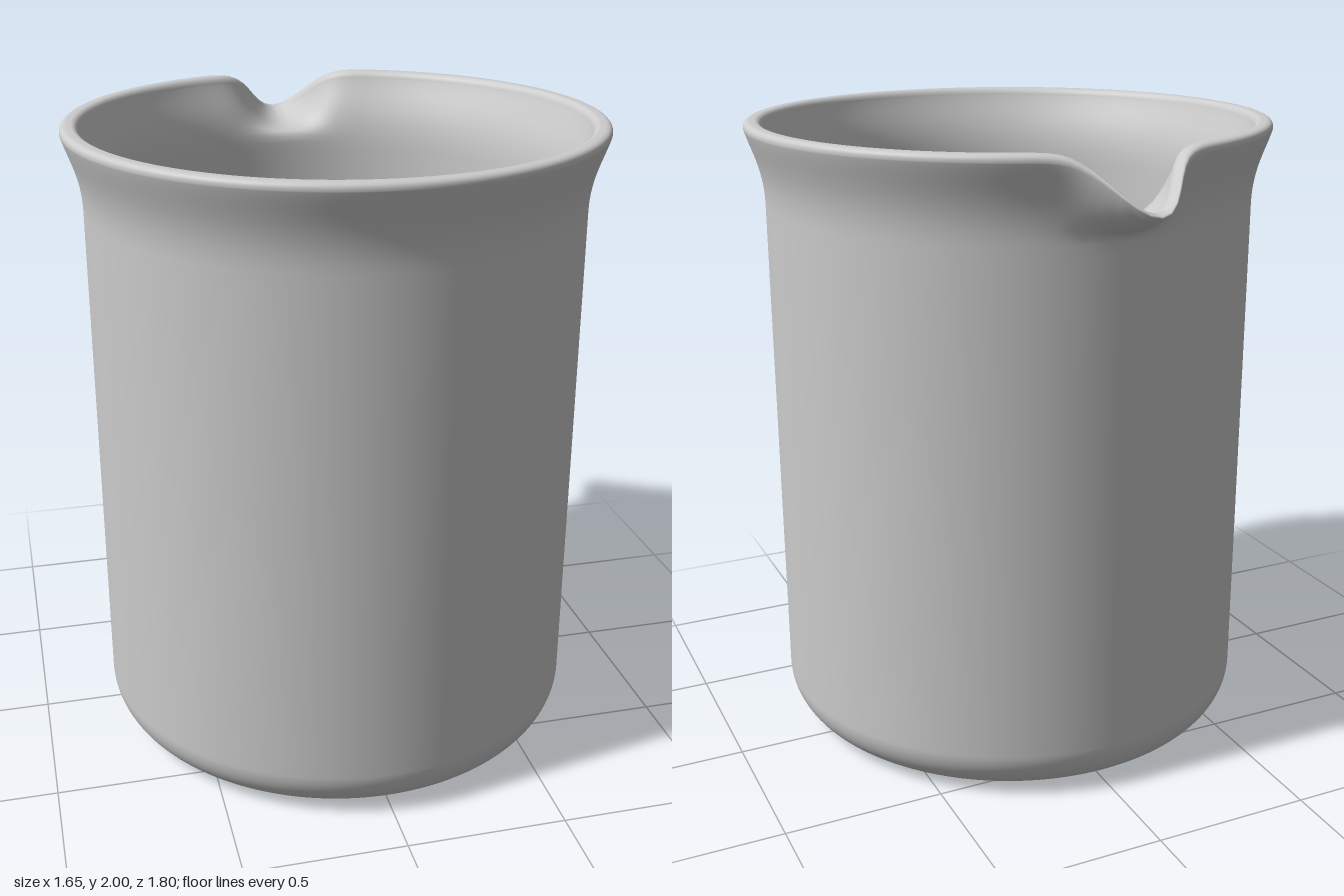
import * as THREE from 'three';
import { mergeVertices } from 'three/addons/utils/BufferGeometryUtils.js';

const CENTRE_Z = 0.08; // the body sits forward of the spout
const SEGMENTS = 192;

// Outer half of the cross-section: base, rounded foot, wall, flared lip
function outerProfile() {
  const path = new THREE.Path();
  path.moveTo(0, 0);
  path.lineTo(0.6, 0);
  path.lineTo(0.62, 0);
  path.absarc(0.62, 0.15, 0.15, -Math.PI / 2, 0, false);
  path.lineTo(0.77, 0.2);
  path.lineTo(0.77, 1.7);
  path.lineTo(0.77, 1.74);
  path.bezierCurveTo(0.77, 1.85, 0.805, 1.91, 0.825, 1.975);
  path.quadraticCurveTo(0.828, 1.998, 0.805, 2);
  return path.getPoints(14);
}

// Inner half: lip, wall, rounded corner, floor
function innerProfile() {
  const path = new THREE.Path();
  path.moveTo(0.79, 2);
  path.quadraticCurveTo(0.772, 1.998, 0.767, 1.975);
  path.bezierCurveTo(0.745, 1.91, 0.71, 1.86, 0.71, 1.74);
  path.lineTo(0.71, 1.7);
  path.lineTo(0.71, 0.2);
  path.absarc(0.61, 0.16, 0.1, 0, -Math.PI / 2, true);
  path.lineTo(0.59, 0.06);
  path.lineTo(0, 0.06);
  return path.getPoints(14);
}

// Pull the lip outward and down around the back to form the pouring spout
function shapeSpout(geometry, outerCount, rowCount) {
  const pos = geometry.attributes.position;
  for (let i = 0; i < pos.count; i++) {
    const base = i % rowCount < outerCount ? 1.76 : 1.8;
    const x = pos.getX(i), y = pos.getY(i), z = pos.getZ(i);
    if (y <= base) continue;
    const r = Math.hypot(x, z);
    const angle = Math.atan2(x, -z);
    const weight = Math.exp(-((angle / 0.142) ** 2));
    const t = (y - base) / (2 - base);
    const newR = r + 0.155 * weight * Math.sin(t * Math.PI / 2);
    const drop = 0.15 * weight * t;
    pos.setXYZ(i, x * newR / r, y - drop, z * newR / r);
  }
}

export function createModel() {
  const group = new THREE.Group();
  group.name = 'beaker';

  const outer = outerProfile();
  const profile = [...outer, ...innerProfile()];
  let geometry = new THREE.LatheGeometry(profile, SEGMENTS);
  shapeSpout(geometry, outer.length, profile.length);

  // Weld the seam so the shading is smooth all round
  geometry.deleteAttribute('uv');
  geometry.deleteAttribute('normal');
  geometry = mergeVertices(geometry, 1e-5);
  geometry.computeVertexNormals();

  const vessel = new THREE.Mesh(geometry, new THREE.MeshStandardMaterial({ color: 0xcccccc }));
  vessel.name = 'vesselWithSpout';
  vessel.position.z = CENTRE_Z;
  group.add(vessel);
  return group;
}
